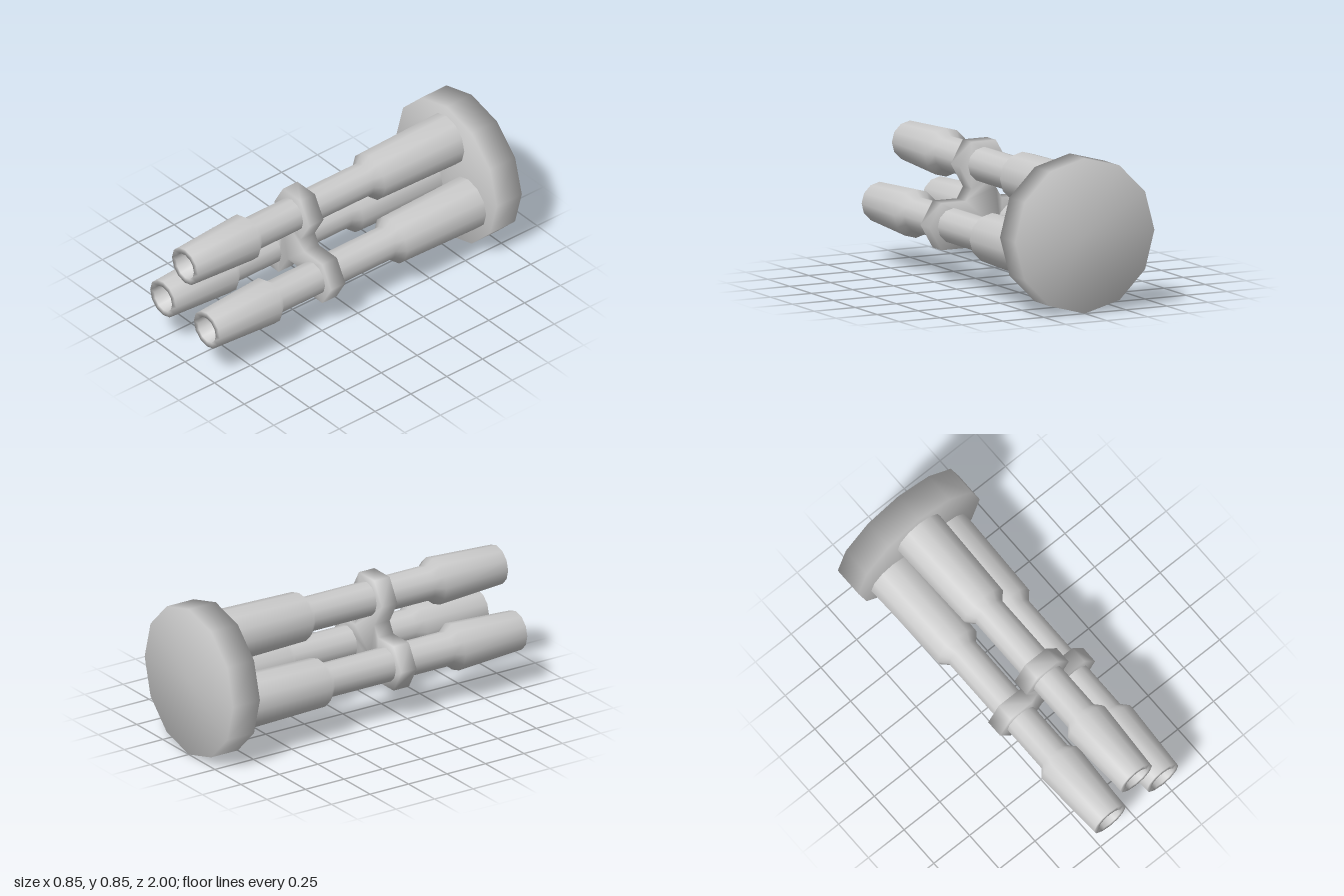
import * as THREE from 'three';
import { mergeVertices } from 'three/addons/utils/BufferGeometryUtils.js';

const CENTER_Y = 0.424;
const ORBIT = 0.213; // distance of each barrel from the main axis

export function createModel() {
  const material = new THREE.MeshStandardMaterial({ color: 0xcccccc });
  const model = new THREE.Group();

  const add = (name, geometry, x = 0, y = 0) => {
    const mesh = new THREE.Mesh(geometry, material);
    mesh.name = name;
    mesh.position.set(x, y, 0);
    model.add(mesh);
  };

  // Twelve-sided turned solid along z from [radius, z] pairs
  const turned = (profile) =>
    new THREE.LatheGeometry(profile.map(([r, z]) => new THREE.Vector2(r, z)), 12).rotateX(Math.PI / 2);

  // Round plate at the back
  add('backPlate', turned([[0, -1], [0.424, -1], [0.424, -0.825], [0, -0.825]]), 0, CENTER_Y);

  // Barrel: thick root, slim middle, tapered muzzle with a blind bore
  const barrel = turned([
    [0.15, -0.83], [0.137, -0.285], [0.096, -0.24], [0.096, 0.54],
    [0.133, 0.585], [0.11, 1], [0.075, 1], [0.07, 0.9], [0, 0.9],
  ]);
  const names = ['topBarrel', 'rightBarrel', 'leftBarrel'];
  const centers = names.map((name, i) => {
    const a = Math.PI / 2 + (i * Math.PI * 2) / 3;
    const c = new THREE.Vector2(Math.cos(a) * ORBIT, CENTER_Y + Math.sin(a) * ORBIT);
    add(name, barrel, c.x, c.y);
    return c;
  });

  // Clamp: three hexagons joined through a central hub, traced counter-clockwise
  const outline = [];
  centers.forEach((c, i) => {
    const start = -Math.PI / 3 + (i * Math.PI * 2) / 3;
    for (let k = 0; k < 6; k++) {
      const a = start + (k * Math.PI) / 3;
      outline.push(new THREE.Vector2(c.x + Math.cos(a) * 0.148, c.y + Math.sin(a) * 0.148));
    }
  });
  let clamp = new THREE.ExtrudeGeometry(new THREE.Shape(outline), { depth: 0.1, bevelEnabled: false });
  clamp.translate(0, 0, 0.155);
  clamp.deleteAttribute('normal');
  clamp.deleteAttribute('uv');
  clamp = mergeVertices(clamp);
  clamp.computeVertexNormals();
  add('barrelClamp', clamp);

  return model;
}
